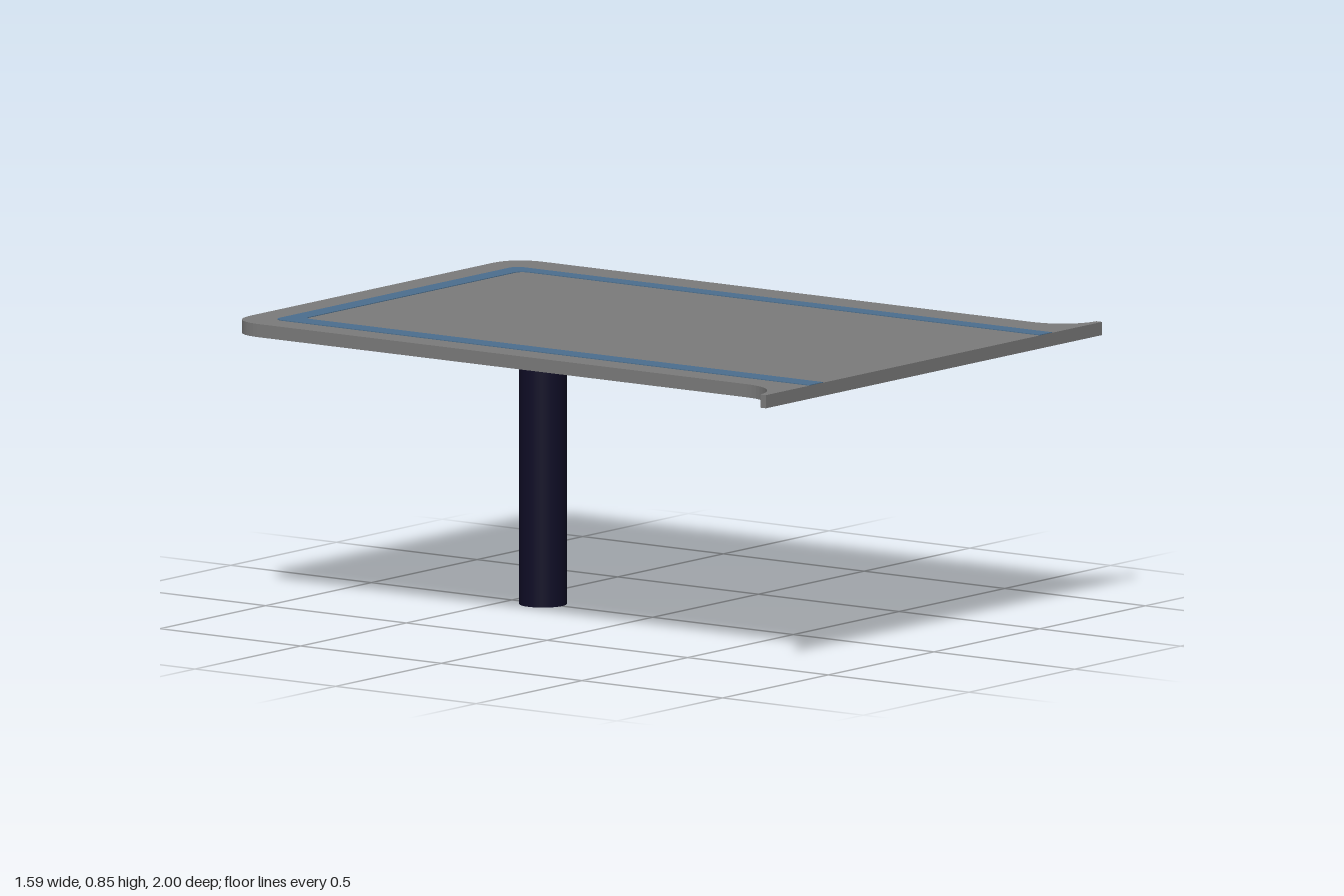
import * as THREE from 'three';

const material = (name, color) => {
  const m = new THREE.MeshStandardMaterial({ color });
  m.name = name;
  return m;
};

// Extrudes a plan outline (x, -z) upwards from height y
function slab(name, shape, y, height, mat) {
  const geo = new THREE.ExtrudeGeometry(shape, { depth: height, bevelEnabled: false, curveSegments: 12 });
  geo.rotateX(-Math.PI / 2);
  const mesh = new THREE.Mesh(geo, mat);
  mesh.name = name;
  mesh.position.y = y;
  return mesh;
}

export function createModel() {
  const grey = material('grey', 0x7c7c7c);
  const blue = material('blue', 0x4c6f8f);
  const navy = material('darkNavy', 0x0f0d26);
  const model = new THREE.Group();
  model.name = 'table';

  // Table top: rounded back corners, flared front corners
  const top = new THREE.Shape();
  top.moveTo(-0.795, -1);
  top.lineTo(0.795, -1);
  top.lineTo(0.795, -0.98);
  top.bezierCurveTo(0.73, -0.975, 0.675, -0.92, 0.675, -0.84);
  top.lineTo(0.675, 0.9);
  top.quadraticCurveTo(0.67, 0.995, 0.575, 1);
  top.lineTo(-0.575, 1);
  top.quadraticCurveTo(-0.67, 0.995, -0.675, 0.9);
  top.lineTo(-0.675, -0.84);
  top.bezierCurveTo(-0.675, -0.92, -0.73, -0.975, -0.795, -0.98);
  top.closePath();
  model.add(slab('tableTop', top, 0.807, 0.038, grey));

  // Inlaid stripe running round three sides, open at the front
  const stripe = new THREE.Shape();
  stripe.moveTo(-0.59, -1);
  stripe.lineTo(-0.525, -1);
  stripe.lineTo(-0.525, 0.815);
  stripe.quadraticCurveTo(-0.525, 0.845, -0.495, 0.845);
  stripe.lineTo(0.47, 0.845);
  stripe.quadraticCurveTo(0.5, 0.845, 0.5, 0.815);
  stripe.lineTo(0.5, -1);
  stripe.lineTo(0.557, -1);
  stripe.lineTo(0.557, 0.875);
  stripe.quadraticCurveTo(0.557, 0.905, 0.527, 0.905);
  stripe.lineTo(-0.555, 0.905);
  stripe.quadraticCurveTo(-0.59, 0.905, -0.59, 0.87);
  stripe.closePath();
  model.add(slab('stripe', stripe, 0.845, 0.002, blue));

  // Single round leg near the back
  const leg = new THREE.Mesh(new THREE.CylinderGeometry(0.068, 0.068, 0.81, 32), navy);
  leg.name = 'leg';
  leg.position.set(0, 0.405, -0.39);
  model.add(leg);

  return model;
}
